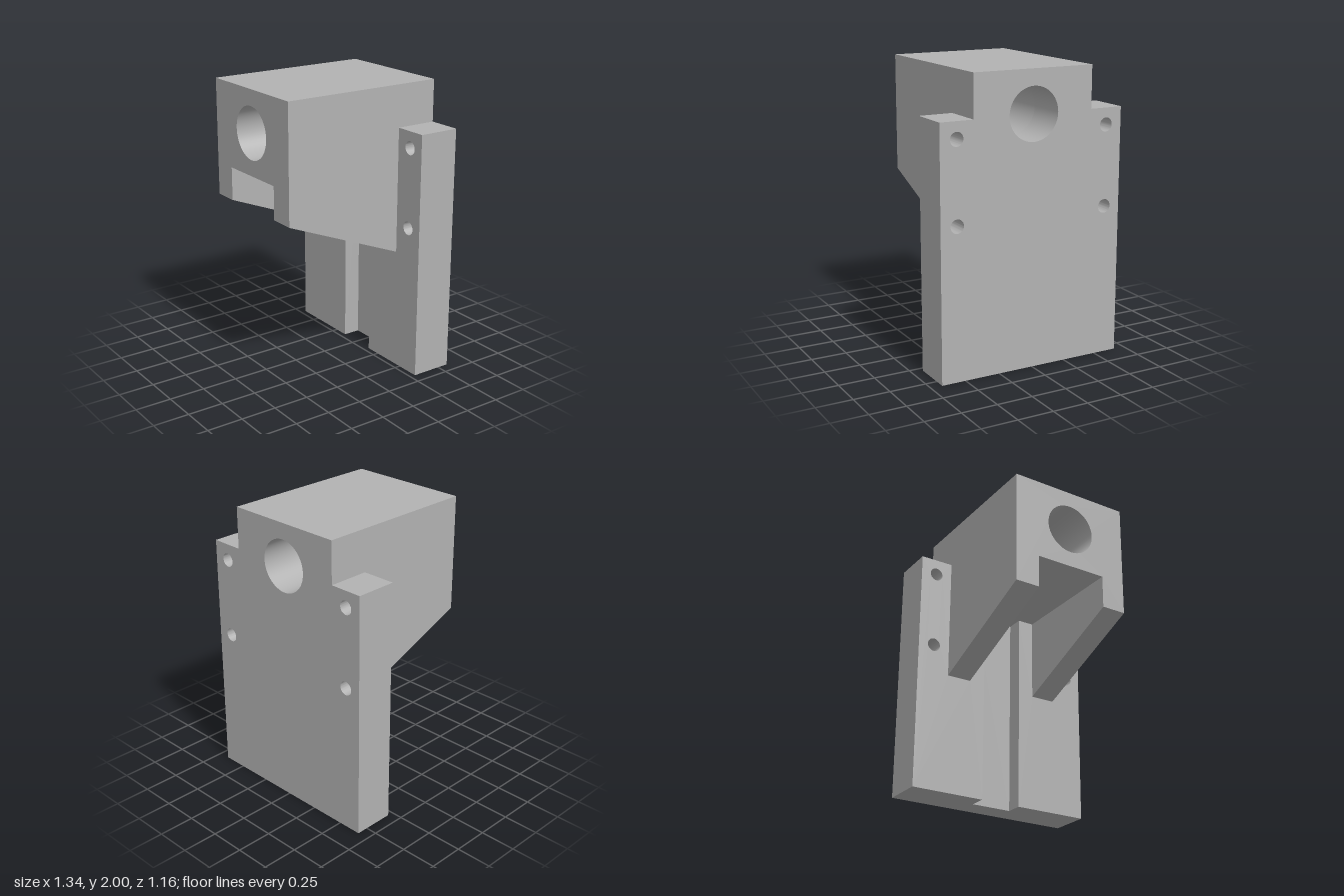
import * as THREE from 'three';
import { mergeGeometries, toCreasedNormals } from 'three/addons/utils/BufferGeometryUtils.js';

const BACK = -0.58, FLOOR = -0.41, FACE = -0.29, FRONT = 0.58;
const W = 0.67, BOX = 0.435, CHANNEL = 0.26, GROOVE = 0.145;
const TOP = 2, SHOULDER = 1.71, CEILING = 1.42, LIP = 1.19, HEEL = 0.84;
const BORE = [0, 1.71, 0.18];
const SCREWS = [[0.553, 1.597, 0.047], [0.553, 1.043, 0.047]];

// Shape from corner points with round holes
function outline(points, holes = []) {
  const shape = new THREE.Shape(points.map(([x, y]) => new THREE.Vector2(x, y)));
  for (const [x, y, r] of holes) shape.holes.push(new THREE.Path().absarc(x, y, r, 0, Math.PI * 2, true));
  return shape;
}

// Mirrors a half outline (ordered bottom to top on +x) into a full one
const mirrored = (half) => [...half, ...half.map(([x, y]) => [-x, y]).reverse()];

// Side walls of an extrusion, without end caps
function walls(shape, z0, z1) {
  const solid = new THREE.ExtrudeGeometry(shape, { depth: z1 - z0, bevelEnabled: false, curveSegments: 24 });
  const { start, count } = solid.groups[1];
  const pos = solid.attributes.position.array.slice(start * 3, (start + count) * 3);
  const geo = new THREE.BufferGeometry();
  geo.setAttribute('position', new THREE.BufferAttribute(pos, 3));
  return geo.translate(0, 0, z0);
}

// Flat face at depth z, turned to the front or to the back
function face(shape, z, toBack = false) {
  const flat = new THREE.ShapeGeometry(shape, 24).toNonIndexed();
  const geo = new THREE.BufferGeometry();
  geo.setAttribute('position', flat.attributes.position);
  if (toBack) geo.rotateY(Math.PI);
  return geo.translate(0, 0, z);
}

export function createModel() {
  const group = new THREE.Group();
  const grey = new THREE.MeshStandardMaterial({ color: 0xb2b2b2 });
  grey.name = 'plain grey';

  const add = (name, parts) => {
    const mesh = new THREE.Mesh(toCreasedNormals(mergeGeometries(parts), 0.5), grey);
    mesh.name = name;
    group.add(mesh);
  };

  const allScrews = [...SCREWS, ...SCREWS.map(([x, y, r]) => [-x, y, r])];
  const holes = [BORE, ...allScrews];
  const upper = [[W, 0], [W, SHOULDER], [BOX, SHOULDER], [BOX, TOP]];

  // Mounting plate: full rear layer, grooved front layer
  const full = outline(mirrored(upper), holes);
  const grooved = outline(mirrored([[GROOVE, CEILING], [GROOVE, 0], ...upper]), holes);
  const grooveFloor = outline(mirrored([[GROOVE, 0], [GROOVE, CEILING]]));
  const half = [[GROOVE, 0], [W, 0], [W, SHOULDER], [BOX, SHOULDER],
    [BOX, HEEL], [CHANNEL, HEEL], [CHANNEL, CEILING], [GROOVE, CEILING]];
  add('mountingPlate', [
    walls(full, BACK, FLOOR),
    walls(grooved, FLOOR, FACE),
    face(full, BACK, true),
    face(grooveFloor, FLOOR),
    face(outline(half, SCREWS), FACE),
    face(outline(half.map(([x, y]) => [-x, y]), allScrews.slice(2)), FACE),
  ]);

  // Housing: channelled block whose underside slopes down to the plate
  const block = outline(mirrored([[CHANNEL, CEILING], [CHANNEL, LIP], [BOX, LIP], [BOX, TOP]]), [BORE]);
  const sides = walls(block, FACE, FRONT);
  const p = sides.attributes.position;
  for (let i = 0; i < p.count; i++) {
    if (Math.abs(p.getY(i) - LIP) < 1e-4 && p.getZ(i) < 0) p.setY(i, HEEL);
  }
  add('boredHousing', [sides, face(block, FRONT)]);

  return group;
}
